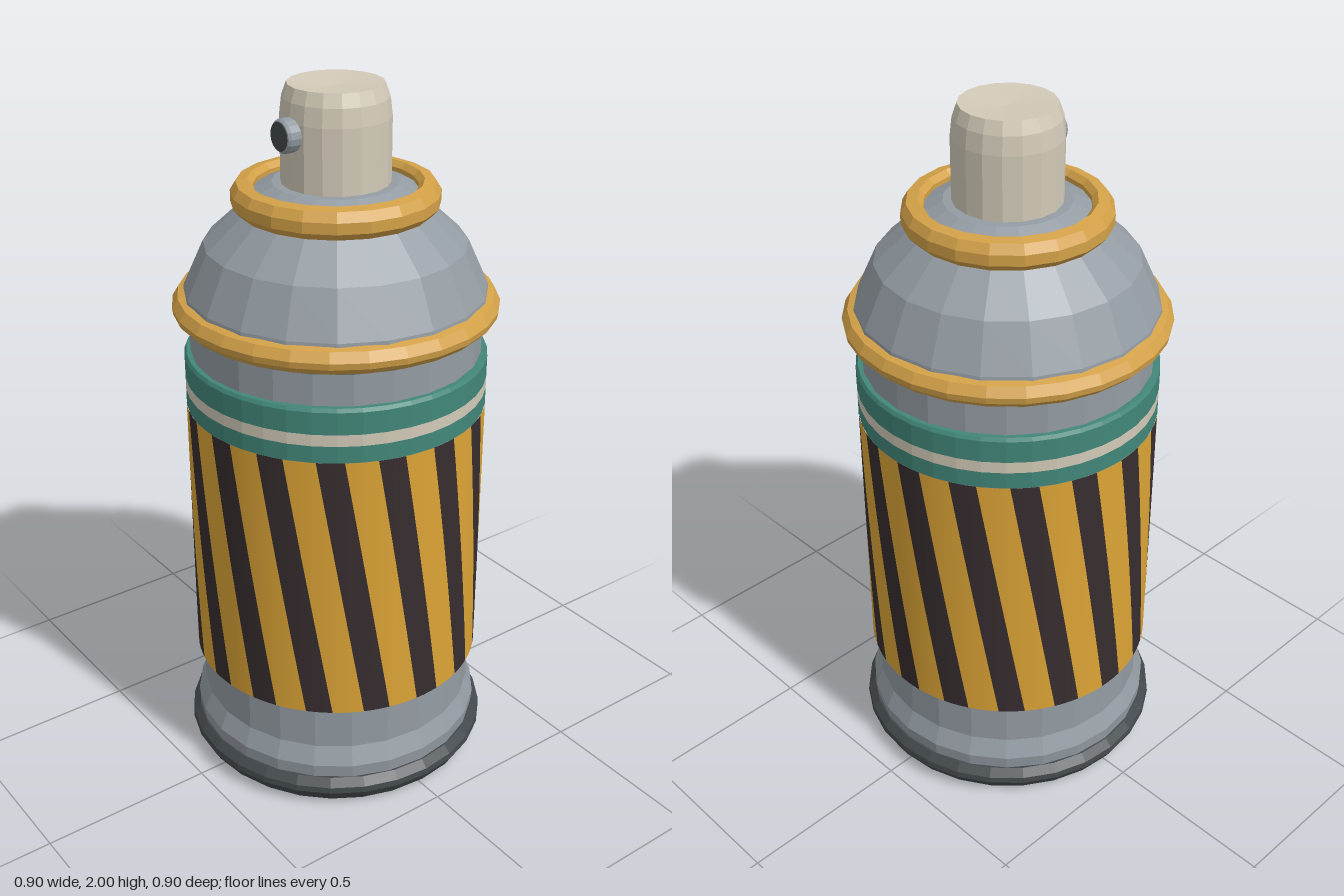
import * as THREE from 'three';

const paint = (name, color, flatShading = true) => {
  const m = new THREE.MeshStandardMaterial({ color, flatShading });
  m.name = name;
  return m;
};

export function createModel() {
  const group = new THREE.Group();
  const steel = paint('steel grey', 0x949ca3);
  const gold = paint('gold trim', 0xd3a148);
  const iron = paint('dark iron', 0x43494d);
  const cream = paint('cream', 0xd2cab8);
  const teal = paint('teal', 0x428779);
  const yellow = paint('label yellow', 0xdca436, false);
  const black = paint('label black', 0x372d2f, false);

  const add = (name, geometry, material, parent = group) => {
    const mesh = new THREE.Mesh(geometry, material);
    mesh.name = name;
    parent.add(mesh);
    return mesh;
  };
  // Turned part: profile of [radius, height] pairs, listed bottom to top
  const turn = (name, profile, sides, material) =>
    add(name, new THREE.LatheGeometry(profile.map(([r, y]) => new THREE.Vector2(r, y)), sides), material);

  // Can body and shoulder
  turn('canBody', [[0.42, 0.08], [0.425, 0.13], [0.402, 0.185], [0.402, 1.36], [0.415, 1.385]], 24, steel);
  turn('shoulder', [[0.418, 1.42], [0.414, 1.45], [0.357, 1.575], [0.26, 1.665], [0.235, 1.71]], 20, steel);
  turn('topPlate', [[0.235, 1.71], [0.17, 1.74], [0, 1.745]], 20, steel);

  // Base: dark rolled rim, grey underside and recessed floor
  turn('baseRim', [[0.41, 0], [0.43, 0.02], [0.447, 0.05], [0.445, 0.068], [0.425, 0.09], [0.4, 0.09]], 28, iron);
  turn('baseLip', [[0.335, 0.045], [0.41, 0]], 28, steel);
  turn('baseFloor', [[0, 0.045], [0.335, 0.045]], 28, steel);

  // Gold rolled seams
  turn('shoulderRing', [[0.4, 1.37], [0.425, 1.372], [0.445, 1.392], [0.448, 1.41], [0.432, 1.436], [0.41, 1.442]], 28, gold);
  turn('collarRing', [[0.22, 1.665], [0.262, 1.665], [0.28, 1.685], [0.28, 1.715], [0.265, 1.74],
    [0.235, 1.745], [0.22, 1.73], [0.22, 1.69]], 20, gold);

  // Label sleeve: teal bands around a cream line
  const R = 0.42, low = 0.32, high = 1.118;
  turn('labelBandLower', [[R, high], [R, 1.166]], 40, teal);
  turn('labelLine', [[R, 1.166], [R, 1.199]], 40, cream);
  turn('labelBandUpper', [[R, 1.199], [R, 1.262], [0.414, 1.272], [0.4, 1.272]], 40, teal);
  turn('labelBottomEdge', [[0.4, low], [R, low]], 40, yellow);

  // Slanted hazard stripes wrapped around the sleeve
  const count = 16, step = Math.PI * 2 / count, dark = step * 0.46, twist = step * 0.8;
  const stripes = new THREE.Group();
  stripes.name = 'labelStripes';
  group.add(stripes);
  const stripe = (name, start, width, material) => {
    const g = new THREE.PlaneGeometry(1, 1, 3, 10);
    const p = g.attributes.position, n = g.attributes.normal;
    for (let i = 0; i < p.count; i++) {
      const v = p.getY(i) + 0.5;
      const a = start + (p.getX(i) + 0.5) * width + (1 - v) * twist;
      p.setXYZ(i, R * Math.sin(a), low + v * (high - low), R * Math.cos(a));
      n.setXYZ(i, Math.sin(a), 0, Math.cos(a));
    }
    add(name, g, material, stripes);
  };
  for (let i = 0; i < count; i++) {
    const a = (i + 0.29) * step - dark / 2;
    stripe('darkStripe', a, dark, black);
    stripe('yellowStripe', a + dark, step - dark, yellow);
  }

  // Spray button with a slightly dished top
  turn('sprayButton', [[0.147, 1.72], [0.147, 1.915], [0.141, 1.965], [0.128, 2.0], [0, 1.99]], 18, cream);

  // Front outlet: short nozzle with a bevelled lip and a dark bore
  const outlet = turn('outlet', [[0.045, 0], [0.045, 0.055], [0.04, 0.062], [0, 0.062]], 16, steel);
  outlet.rotation.x = Math.PI / 2;
  outlet.position.set(0, 1.885, 0.115);
  const hole = add('outletHole', new THREE.CircleGeometry(0.038, 16), iron);
  hole.position.set(0, 1.885, 0.179);

  return group;
}
